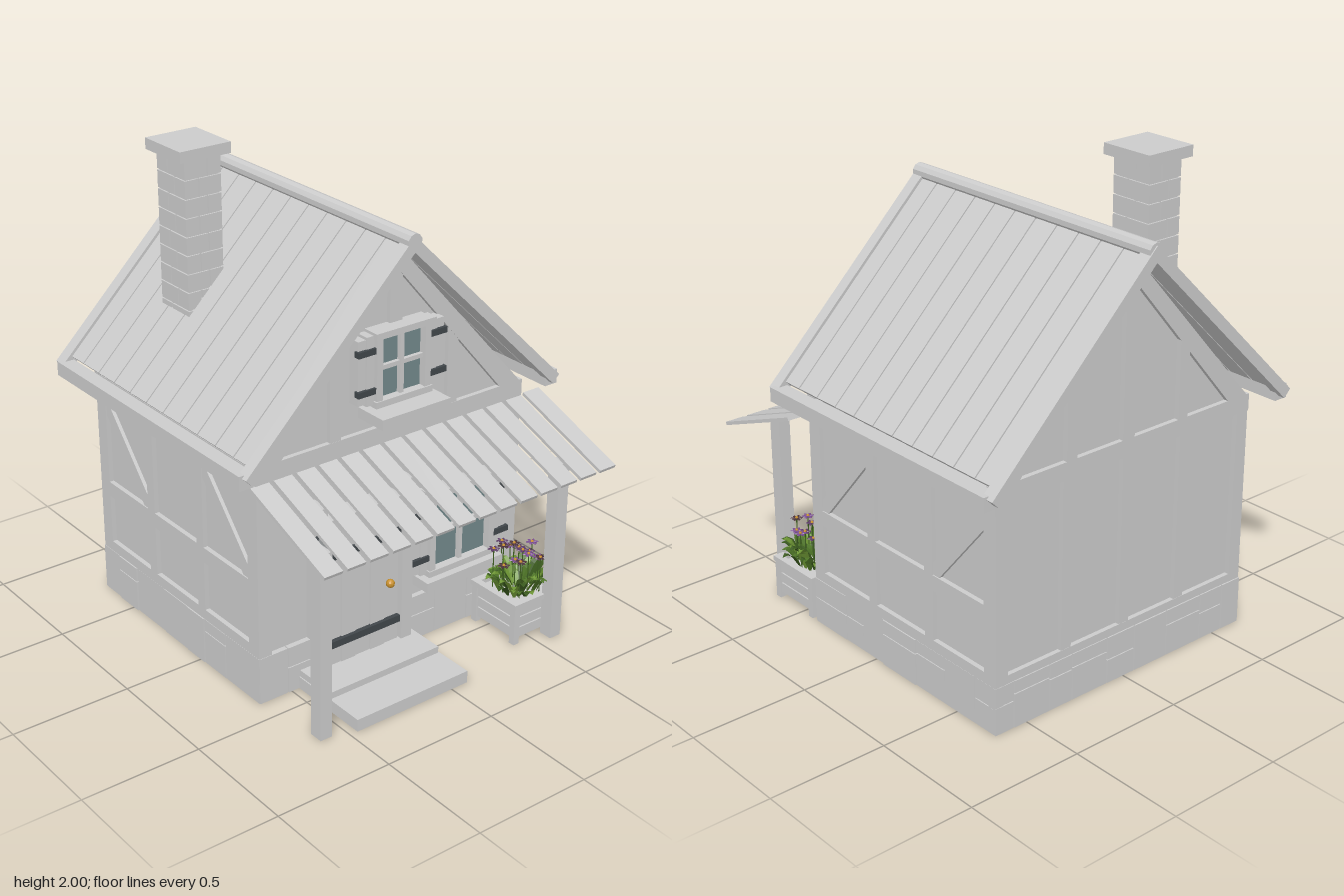
import * as THREE from 'three';

const mat = (color) => new THREE.MeshStandardMaterial({ color, flatShading: true });
const GREY = mat(0xcccccc), IRON = mat(0x41474b), GLASS = mat(0x73898b), GOLD = mat(0xc8902c), GLOW = mat(0xe0a548);
const GREENS = [mat(0x4d7326), mat(0x6c9433), mat(0x3a5a1e)], PETALS = [mat(0x5c3a66), mat(0x4b3038), mat(0x7a4d92)];
GREENS.forEach((m) => { m.side = THREE.DoubleSide; });

let seed = 7;
const rand = () => (seed = (seed * 16807) % 2147483647) / 2147483647;

function add(parent, name, geo, m, x = 0, y = 0, z = 0) {
  const mesh = new THREE.Mesh(geo, m);
  mesh.name = name;
  mesh.position.set(x, y, z);
  parent.add(mesh);
  return mesh;
}
// Box given by its limits on each axis
const block = (p, name, [x0, x1], [y0, y1], [z0, z1], m = GREY) =>
  add(p, name, new THREE.BoxGeometry(x1 - x0, y1 - y0, z1 - z0), m, (x0 + x1) / 2, (y0 + y1) / 2, (z0 + z1) / 2);

function group(parent, name) {
  const g = new THREE.Group();
  g.name = name;
  parent.add(g);
  return g;
}
function prism(p, name, pts, z0, z1) {
  const geo = new THREE.ExtrudeGeometry(new THREE.Shape(pts.map((a) => new THREE.Vector2(...a))), { depth: z1 - z0, bevelEnabled: false });
  return add(p, name, geo, GREY, 0, 0, z0);
}

function buildWalls(root) {
  const g = group(root, 'walls');
  prism(g, 'wallCore', [[-.63, 0], [.63, 0], [.63, 1], [0, 1.7], [-.63, 1]], -.7, .38);
  // Foundation stones of uneven width around the four sides
  const stones = group(g, 'foundationStones');
  for (const s of [-1, 1]) {
    for (const [a, b, along] of [[-.65, .65, 'x'], [-.72, .4, 'z']]) {
      for (let t = a; t < b - .01;) {
        let e = t + .1 + rand() * .12;
        if (b - e < .08) e = b;
        const j = rand() * .006, h = rand() < .5 ? .2 : .1 + rand() * .05;
        for (const [y0, y1] of h < .2 ? [[0, h - .002], [h + .002, .2]] : [[0, .2]]) {
          const span = [t + (t > a ? .002 : 0), e - (e < b ? .002 : 0)];
          if (along === 'x') block(stones, 'stone', span, [y0, y1], s > 0 ? [.36, .4 + j] : [-.72 - j, -.68]);
          else block(stones, 'stone', s > 0 ? [.61, .65 + j] : [-.65 - j, -.61], [y0, y1], span);
        }
        t = e;
      }
    }
  }
  // Timber frame of both long sides
  for (const s of [-1, 1]) {
    const X = s > 0 ? [.6, .65] : [-.65, -.6];
    for (const [z0, z1] of [[.335, .4], [-.01, .037], [-.36, -.31], [-.72, -.655]]) block(g, 'sidePost', X, [.2, .96], [z0, z1]);
    for (const [y0, y1] of [[.2, .245], [.46, .525], [.945, 1]]) block(g, 'sideRail', X, [y0, y1], [-.718, .398]);
    for (const [zf, zb] of [[.335, .037], [-.36, -.655]]) {
      const shape = [[-zf, .525], [-zf + .035, .525], [-zb, .83], [-zb, .905], [-zf, .575]];
      const brace = prism(g, 'sideBrace', shape, -.02, .02);
      brace.rotation.y = Math.PI / 2;
      brace.position.set(s * .625 - .02, 0, 0);
    }
  }
  // Timber frame of both gable ends
  for (const [z0, z1] of [[.36, .4], [-.72, -.68]]) {
    block(g, 'gableTie', [-.655, .655], [.94, 1.012], [z0, z1]);
    block(g, 'kingPost', [-.03, .03], [1, 1.68], [z0, z1 - .002]);
    for (const s of [-1, 1]) {
      const rafter = [[s * .65, 1], [0, 1.73], [0, 1.64], [s * .545, 1]];
      prism(g, 'gableRafter', s > 0 ? rafter : rafter.reverse(), z0, z1);
      const mid = s * .285, end = s * .62;
      block(g, 'gableStud', [mid - .025, mid + .025], [1, 1.35], [z0, z1 - .001]);
      block(g, 'cornerPost', [end - .03, end + .03], [.2, .95], [z0, z1]);
    }
  }
  block(g, 'backRail', [-.64, .64], [.2, .235], [-.719, -.68]);
  for (const x of [-.3, 0, .3]) block(g, 'backStud', [x - .025, x + .025], [.2, .95], [-.718, -.68]);
}

function buildRoof(root) {
  const g = group(root, 'roof');
  const slope = Math.atan(.985);
  for (const s of [-1, 1]) {
    const half = group(g, 'roofSlope');
    half.position.y = 1.79;
    half.rotation.z = -s * slope;
    const X = (a, b) => (s > 0 ? [a, b] : [-b, -a]);
    for (let i = 0; i < 11; i++) {
      const z = -.808 + i * .1167;
      block(half, 'roofPlank', X(0, 1.02), [-.038, -.012], [z + .003, z + .1137]);
    }
    for (const [z0, z1] of [[-.835, -.78], [.448, .5]]) block(half, 'bargeBoard', X(0, 1.07), [-.045, 0], [z0, z1]);
    block(g, 'eaveBeam', X(.712, .775), [.99, 1.05], [-.805, .475]);
  }
  const ridge = add(g, 'ridgeCap', new THREE.CylinderGeometry(.033, .033, 1.33, 10), GREY, 0, 1.768, -.165);
  ridge.rotation.x = Math.PI / 2;
}

function buildChimney(root) {
  const g = group(root, 'chimney');
  block(g, 'chimneyCore', [-.448, -.297], [1.18, 1.96], [-.493, -.317]);
  for (let i = 0; i < 10; i++) {
    const y = 1.2 + i * .0755, cut = i % 2 ? .62 : .38;
    const xm = -.455 + .165 * cut, zm = -.5 + .19 * (1 - cut);
    for (const X of [[-.455, xm - .003], [xm + .003, -.29]])
      for (const Z of [[-.5, zm - .003], [zm + .003, -.31]]) block(g, 'brick', X, [y, y + .07], Z);
  }
  block(g, 'chimneyCap', [-.487, -.257], [1.955, 2], [-.527, -.287]);
}

// Four-pane window with strapped shutters and a sill
function buildWindow(root, name, x, y, hw, hh, sillHalf, sillFront) {
  const g = group(root, name);
  g.position.set(x, y, 0);
  block(g, 'glass', [-hw, hw], [-hh, hh], [.38, .418], GLASS);
  for (const s of [-1, 1]) {
    const X = s * (hw + .008), Y = s * (hh + .008);
    block(g, 'frameSide', [X - .014, X + .014], [-hh - .015, hh + .015], [.38, .45]);
    block(g, 'frameRail', [-hw - .028, hw + .028], [Y - .013, Y + .013], [.38, .455]);
    for (let i = 0; i < 2; i++) {
      const c = s * (hw + .042 + i * .038);
      block(g, 'shutterBoard', [c - .018, c + .018], [-hh - (i ? 0 : .01), hh + (i ? 0 : .01)], [.38, .435 - i * .004]);
    }
    const c = s * (hw + .063);
    for (const t of [-1, 1]) block(g, 'shutterStrap', [c - .042, c + .042], [t * hh * .62 - .012, t * hh * .62 + .012], [.42, .445], IRON);
  }
  block(g, 'mullion', [-.009, .009], [-hh, hh], [.39, .437]);
  block(g, 'transom', [-hw, hw], [-.009, .009], [.39, .435]);
  block(g, 'sill', [-sillHalf, sillHalf], [-hh - .073, -hh - .03], [.38, sillFront]);
}

function buildDoor(root) {
  const g = group(root, 'door');
  for (let i = 0; i < 5; i++) block(g, 'doorPlank', [-.365 + i * .071, -.297 + i * .071], [.08, .69], [.38, .448 + (i % 2) * .004]);
  for (const X of [[-.41, -.37], [-.005, .047]]) block(g, 'doorJamb', X, [.08, .79], [.38, .465]);
  block(g, 'doorLintel', [-.372, -.008], [.695, .73], [.38, .468]);
  for (const y of [.18, .57]) block(g, 'doorStrap', [-.365, -.015], [y - .015, y + .015], [.44, .467], IRON);
  add(g, 'doorKnob', new THREE.SphereGeometry(.018, 12, 8), GOLD, -.085, .375, .49);
  block(g, 'lowerStep', [-.465, .08], [0, .052], [.4, .77]);
  block(g, 'upperStep', [-.46, .075], [.052, .08], [.38, .6]);
}

function buildPorch(root) {
  const g = group(root, 'porch');
  for (let i = 0; i < 14; i++) {
    const x = -.633 + i * .1037;
    const plank = add(g, 'awningPlank', new THREE.BoxGeometry(.083, .014, .482), GREY, x, .852, .615);
    plank.rotation.x = Math.atan2(.17, .45);
  }
  for (const s of [-1, 1]) block(g, 'porchPost', [s * .585 - .027, s * .585 + .027], [0, .79], [.675, .735]);
}

function buildLantern(root) {
  const g = group(root, 'lantern');
  g.position.set(-.435, 0, .505);
  const cyl = (name, rt, rb, h, y, m) => add(g, name, new THREE.CylinderGeometry(rt, rb, h, 6), m, 0, y, 0);
  cyl('lanternGlass', .038, .024, .11, .6, GLOW);
  cyl('lanternBase', .03, .022, .018, .538, IRON);
  cyl('lanternTip', .012, .004, .02, .52, IRON);
  cyl('lanternCollar', .05, .044, .014, .66, IRON);
  cyl('lanternHood', .014, .052, .048, .69, IRON);
  cyl('lanternFinial', .003, .009, .04, .732, IRON);
  for (let i = 0; i < 6; i++) {
    const a = (i * Math.PI) / 3;
    const path = new THREE.LineCurve3(new THREE.Vector3(Math.sin(a) * .025, .54, Math.cos(a) * .025), new THREE.Vector3(Math.sin(a) * .041, .66, Math.cos(a) * .041));
    add(g, 'lanternBar', new THREE.TubeGeometry(path, 1, .004, 4), IRON);
  }
  block(g, 'lanternArm', [-.007, .007], [.655, .669], [-.11, -.03], IRON);
}

function buildPlanter(root) {
  const g = group(root, 'planter');
  g.position.set(.53, 0, .555);
  block(g, 'soilBox', [-.105, .105], [.015, .165], [-.11, .11]);
  for (const s of [-1, 1]) {
    for (const t of [-1, 1]) block(g, 'planterLeg', [s * .112 - .014, s * .112 + .014], [0, .17], [t * .115 - .014, t * .115 + .014]);
    for (const y of [.025, .073, .121]) {
      block(g, 'slat', [-.1, .1], [y, y + .042], [s * .113 - .008, s * .113 + .008]);
      block(g, 'slat', [s * .11 - .008, s * .11 + .008], [y, y + .042], [-.102, .102]);
    }
    block(g, 'rim', [-.13, .13], [.165, .187], [s * .12 - .015, s * .12 + .015]);
    block(g, 'rim', [s * .115 - .015, s * .115 + .015], [.165, .187], [-.105, .105]);
  }
  // Folded, drooping leaf: width tapers along its length
  const leaf = new THREE.PlaneGeometry(.04, .15, 2, 4);
  const p = leaf.attributes.position;
  for (let i = 0; i < p.count; i++) {
    const t = p.getY(i) / .15 + .5, x = p.getX(i) * Math.sin(Math.PI * (.08 + .92 * t));
    p.setXYZ(i, x, .13 * Math.sin(t * 1.9) * .7 + Math.abs(x) * .3, t * .12);
  }
  leaf.computeVertexNormals();
  for (let i = 0; i < 54; i++) {
    const a = i * 2.4, r = .085 * Math.sqrt(i / 54);
    const m = add(g, 'leaf', leaf, GREENS[i % 3], Math.sin(a) * r, .165, Math.cos(a) * r);
    m.rotation.y = a + rand() - .5;
    m.scale.set(1, .55 + rand() * .6, .5 + rand() * .35);
  }
  for (let i = 0; i < 15; i++) {
    const a = i * 2.4 + .5, r = .11 * Math.sqrt((i + .5) / 15), h = .29 + rand() * .065;
    const x = Math.sin(a) * r, z = Math.cos(a) * r;
    add(g, 'stem', new THREE.CylinderGeometry(.003, .003, h - .17, 4), GREENS[2], x, (h + .17) / 2, z);
    const flower = group(g, 'flower');
    flower.position.set(x, h, z);
    for (let k = 0; k < 6; k++) {
      const b = (k * Math.PI) / 3;
      const petal = add(flower, 'petal', new THREE.SphereGeometry(.011, 6, 4), PETALS[i % 3], Math.sin(b) * .015, 0, Math.cos(b) * .015);
      petal.rotation.y = b;
      petal.scale.set(.6, .3, 1.1);
    }
    add(flower, 'flowerHeart', new THREE.SphereGeometry(.007, 6, 4), GOLD, 0, .002, 0);
  }
}

export function createModel() {
  const root = new THREE.Group();
  root.name = 'cottage';
  buildWalls(root);
  buildRoof(root);
  buildChimney(root);
  buildWindow(root, 'gableWindow', 0, 1.275, .108, .13, .165, .53);
  buildWindow(root, 'frontWindow', .32, .485, .147, .165, .2, .475);
  buildDoor(root);
  buildPorch(root);
  buildLantern(root);
  buildPlanter(root);
  return root;
}
